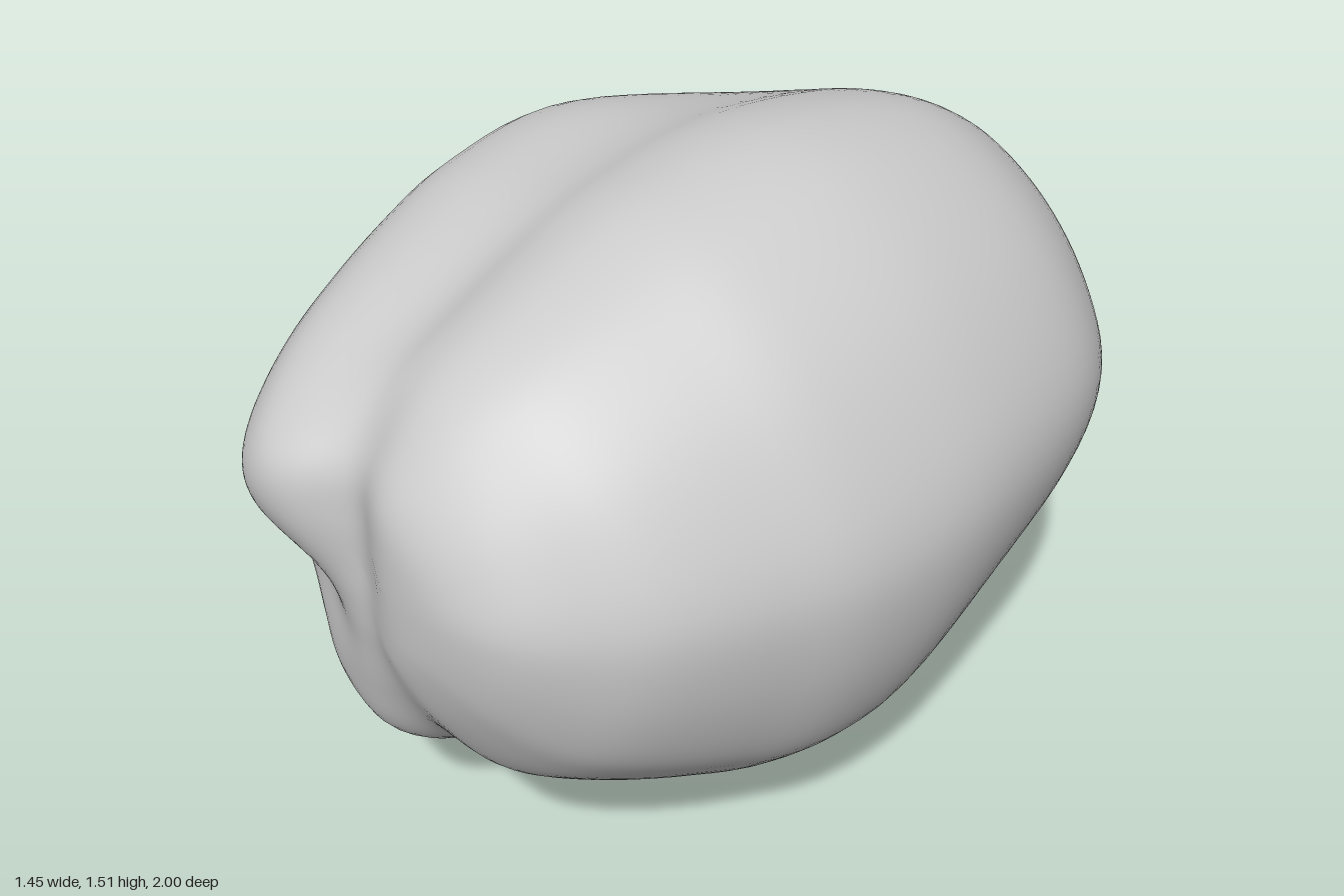
import * as THREE from 'three';
import { mergeVertices } from 'three/addons/utils/BufferGeometryUtils.js';

// Cross-section outlines, clockwise from the top, seen from the front
const FRONT = [
  [0.14, 1.51], [0.3, 1.48], [0.43, 1.4], [0.55, 1.28], [0.65, 1.12], [0.71, 0.97], [0.725, 0.85],
  [0.69, 0.63], [0.6, 0.41], [0.5, 0.29], [0.4, 0.2], [0.31, 0.145], [0.2, 0.13], [0.1, 0.11],
  [0, 0.06], [-0.08, 0.02], [-0.17, 0], [-0.3, 0.03], [-0.43, 0.09], [-0.53, 0.22], [-0.63, 0.42],
  [-0.7, 0.62], [-0.725, 0.82], [-0.7, 1.03], [-0.65, 1.17], [-0.57, 1.29], [-0.48, 1.37],
  [-0.38, 1.405], [-0.2, 1.425], [-0.1, 1.45], [0, 1.49],
];
// The back is bevelled on its lower left side
const BACK = [
  [0.17, 1.51], [0.4, 1.43], [0.6, 1.25], [0.71, 1.02], [0.66, 0.8], [0.47, 0.54], [0.22, 0.28],
  [-0.03, 0.08], [-0.27, 0], [-0.5, 0.08], [-0.65, 0.3], [-0.725, 0.58], [-0.69, 0.9], [-0.54, 1.2],
  [-0.22, 1.41],
];

// Stations from back to front: z, min x, max x, min y, max y
const STATIONS = [
  [-1, 0.03, 0.03, 0.75, 0.75], [-0.98, -0.11, 0.08, 0.57, 0.86], [-0.93, -0.22, 0.15, 0.37, 0.96],
  [-0.85, -0.38, 0.27, 0.22, 1.08], [-0.75, -0.48, 0.41, 0.12, 1.2], [-0.55, -0.61, 0.58, 0.03, 1.36],
  [-0.33, -0.685, 0.68, 0, 1.46], [0, -0.725, 0.725, 0.055, 1.51], [0.3, -0.69, 0.71, 0.08, 1.48],
  [0.5, -0.625, 0.65, 0.17, 1.42], [0.7, -0.53, 0.57, 0.3, 1.34], [0.82, -0.45, 0.48, 0.4, 1.27],
  [0.91, -0.36, 0.39, 0.56, 1.18], [0.96, -0.26, 0.28, 0.7, 1.1], [0.975, -0.13, 0.14, 0.8, 1],
  [0.975, 0, 0, 0.9, 0.9],
];

// Soft pushes and pulls: centre, reach, displacement
const DENTS = [
  [[0, 1, 0.95], [0.09, 0.3, 0.25], [0, 0, -0.055]],            // cleft between the front lobes
  [[-0.23, 1.03, 0.93], [0.18, 0.2, 0.25], [0, 0, 0.04]],       // tip of the right lobe
  [[-0.23, 0.74, 0.9], [0.17, 0.15, 0.28], [0, 0.01, -0.09]],   // hollow under that lobe
  [[-0.13, 0.42, 0.8], [0.16, 0.12, 0.2], [0, 0, 0.03]],        // swelling below the hollow
  [[0.07, 0.34, 0.75], [0.06, 0.13, 0.2], [0, 0.02, -0.05]],    // crease running underneath
  [[0.1, 0.17, 0.4], [0.09, 0.15, 0.3], [0, 0.05, 0]],          // groove of the underside
  [[-0.08, 1.32, 0.65], [0.12, 0.2, 0.28], [0, -0.02, 0]],      // groove over the top
];

function pushDents(p) {
  const start = p.toArray();
  for (const [centre, reach, move] of DENTS) {
    const d = start.reduce((sum, v, k) => sum + ((v - centre[k]) / reach[k]) ** 2, 0);
    p.addScaledVector(new THREE.Vector3(...move), Math.exp(-d));
  }
  return p;
}

// Smooth value through the station table, column by column
function station(t, column) {
  const f = t * (STATIONS.length - 1);
  const i = Math.min(Math.floor(f), STATIONS.length - 2);
  const at = (k) => STATIONS[THREE.MathUtils.clamp(k, 0, STATIONS.length - 1)][column];
  const [a, b, c, d] = [at(i - 1), at(i), at(i + 1), at(i + 2)];
  const u = f - i;
  return b + 0.5 * u * (c - a + u * (2 * a - 5 * b + 4 * c - d + u * (3 * (b - c) + d - a)));
}

// Evenly spaced points around a closed outline
function outlinePoints(outline, sides) {
  const curve = new THREE.CatmullRomCurve3(outline.map(([x, y]) => new THREE.Vector3(x, y, 0)), true);
  return curve.getSpacedPoints(sides).slice(0, sides);
}

function bodyGeometry(rings = 90, sides = 120) {
  const front = outlinePoints(FRONT, sides);
  const back = outlinePoints(BACK, sides);
  const positions = [];
  const index = [];
  for (let i = 0; i <= rings; i++) {
    const [z, x0, x1, y0, y1] = [0, 1, 2, 3, 4].map((c) => station(i / rings, c));
    const blend = THREE.MathUtils.smoothstep(z, -0.6, 0.2);
    back.forEach((b, j) => {
      const s = b.clone().lerp(front[j], blend);
      const x = x0 + (x1 - x0) * (s.x / 1.45 + 0.5);
      const y = y0 + (y1 - y0) * (s.y / 1.51);
      positions.push(...pushDents(new THREE.Vector3(x, y, z)).toArray());
      if (i === rings) return;
      const a = i * sides + j;
      const n = i * sides + (j + 1) % sides;
      index.push(a, a + sides, n, n, a + sides, n + sides);
    });
  }
  const geometry = new THREE.BufferGeometry();
  geometry.setAttribute('position', new THREE.Float32BufferAttribute(positions, 3));
  geometry.setIndex(index);
  const welded = mergeVertices(geometry, 1e-5);
  welded.computeVertexNormals();
  return welded;
}

export function createModel() {
  const group = new THREE.Group();
  const body = new THREE.Mesh(bodyGeometry(), new THREE.MeshStandardMaterial({ color: 0xcccccc }));
  body.name = 'lobedBody';
  group.add(body);
  return group;
}
